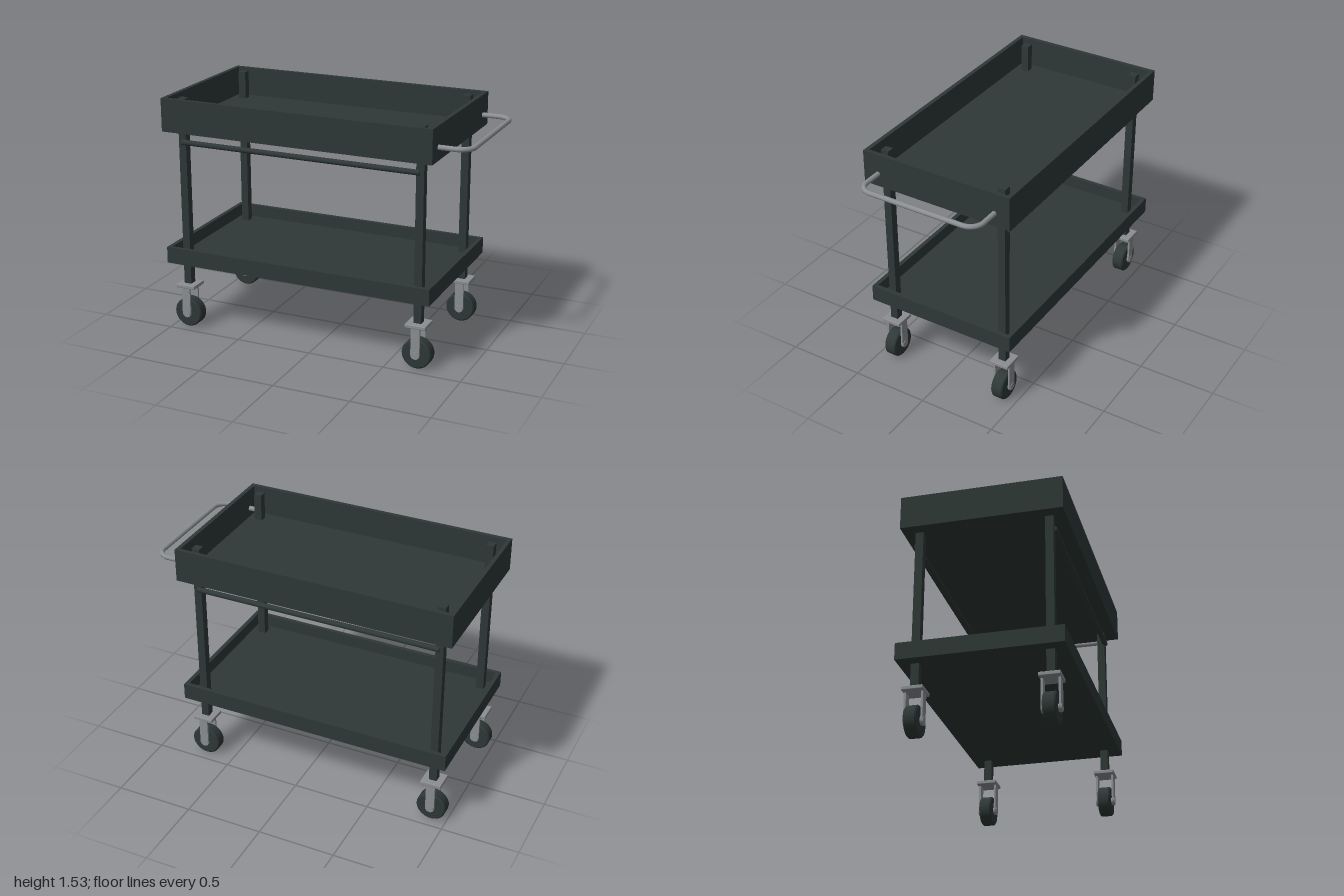
import * as THREE from 'three';
import { RoundedBoxGeometry } from 'three/addons/geometries/RoundedBoxGeometry.js';

export function createModel() {
  const cart = new THREE.Group();
  cart.name = 'serviceCart';
  const dark = new THREE.MeshStandardMaterial({ color: 0x2e3836 });
  dark.name = 'dark green grey';
  const steel = new THREE.MeshStandardMaterial({ color: 0x8b8e92 });
  steel.name = 'steel grey';

  const add = (parent, name, geometry, material, x = 0, y = 0, z = 0) => {
    const mesh = new THREE.Mesh(geometry, material);
    mesh.name = name;
    mesh.position.set(x, y, z);
    parent.add(mesh);
    return mesh;
  };

  const midX = -0.105, length = 1.79, depth = 1, wall = 0.027;
  const postX = [-0.9, 0.69], postZ = [-0.4, 0.4];

  const rectangle = (path, w, h) => {
    path.moveTo(-w / 2, -h / 2);
    path.lineTo(w / 2, -h / 2);
    path.lineTo(w / 2, h / 2);
    path.lineTo(-w / 2, h / 2);
    path.closePath();
    return path;
  };

  // Open trays: a rim with a hole, closed by a floor
  function tray(name, bottom, top) {
    const group = new THREE.Group();
    group.name = name;
    const rim = rectangle(new THREE.Shape(), length, depth);
    rim.holes.push(rectangle(new THREE.Path(), length - 2 * wall, depth - 2 * wall));
    const rimGeometry = new THREE.ExtrudeGeometry(rim, { depth: top - bottom, bevelEnabled: false });
    rimGeometry.rotateX(-Math.PI / 2);
    add(group, name + 'Rim', rimGeometry, dark, midX, bottom, 0);
    add(group, name + 'Floor', new THREE.BoxGeometry(length - 2 * wall, 0.025, depth - 2 * wall),
      dark, midX, bottom + 0.0125, 0);
    cart.add(group);
  }
  tray('topTray', 1.322, 1.535);
  tray('lowerTray', 0.45, 0.556);

  // Caster pieces shared by all four corners
  const plate = new RoundedBoxGeometry(0.134, 0.024, 0.13, 2, 0.005);
  const r = 0.095, half = 0.039, bevel = 0.008;
  const wheel = new THREE.LatheGeometry([
    [0, -half], [r - bevel, -half], [r - bevel, -half], [r, -half + bevel], [r, -half + bevel],
    [r, half - bevel], [r, half - bevel], [r - bevel, half], [r - bevel, half], [0, half],
  ].map(([x, y]) => new THREE.Vector2(x, y)), 32).rotateX(Math.PI / 2);
  const forkShape = new THREE.Shape();
  forkShape.moveTo(0.029, 0.275);
  forkShape.lineTo(-0.029, 0.275);
  forkShape.lineTo(-0.029, 0.097);
  forkShape.absarc(0, 0.097, 0.029, Math.PI, 2 * Math.PI, false);
  forkShape.closePath();
  const fork = new THREE.ExtrudeGeometry(forkShape, { depth: 0.013, bevelEnabled: false, curveSegments: 10 })
    .translate(0, 0, -0.0065);
  const axle = new THREE.CylinderGeometry(0.024, 0.024, 0.122, 16).rotateX(Math.PI / 2);

  function caster(x, z) {
    const group = new THREE.Group();
    group.name = 'caster';
    group.position.set(x, 0, z);
    add(group, 'casterPlate', plate, steel, 0, 0.283, 0);
    for (const side of [-1, 1]) add(group, 'casterFork', fork, steel, 0, 0, side * 0.0515);
    add(group, 'axle', axle, steel, 0, 0.095, 0);
    add(group, 'wheel', wheel, dark, 0, 0.095, 0);
    cart.add(group);
  }

  // Corner posts rise through both trays
  const post = new THREE.BoxGeometry(0.05, 1.235, 0.05);
  for (const x of postX) for (const z of postZ) {
    add(cart, 'post', post, dark, x, 0.29 + 1.235 / 2, z);
    caster(x, z);
  }

  // Long side rails under the top tray
  const rail = new THREE.CylinderGeometry(0.017, 0.017, 1.59, 16).rotateZ(Math.PI / 2);
  for (const side of [-1, 1]) add(cart, 'sideRail', rail, dark, midX, 1.245, side * 0.425);

  // Push handle with two rounded corners
  const v = (x, z) => new THREE.Vector3(x, 1.405, z);
  const endX = 0.984, bend = 0.085, hz = 0.4;
  const path = new THREE.CurvePath();
  path.add(new THREE.LineCurve3(v(0.715, -hz), v(endX - bend, -hz)));
  const k = bend * 0.45;
  path.add(new THREE.CubicBezierCurve3(v(endX - bend, -hz), v(endX - k, -hz), v(endX, -hz + k), v(endX, -hz + bend)));
  path.add(new THREE.LineCurve3(v(endX, -hz + bend), v(endX, hz - bend)));
  path.add(new THREE.CubicBezierCurve3(v(endX, hz - bend), v(endX, hz - k), v(endX - k, hz), v(endX - bend, hz)));
  path.add(new THREE.LineCurve3(v(endX - bend, hz), v(0.715, hz)));
  add(cart, 'pushHandle', new THREE.TubeGeometry(path, 100, 0.016, 12, false), steel);
  const cap = new THREE.CircleGeometry(0.016, 12).rotateY(-Math.PI / 2);
  for (const z of postZ) add(cart, 'handleEnd', cap, steel, 0.715, 1.405, z);

  return cart;
}
